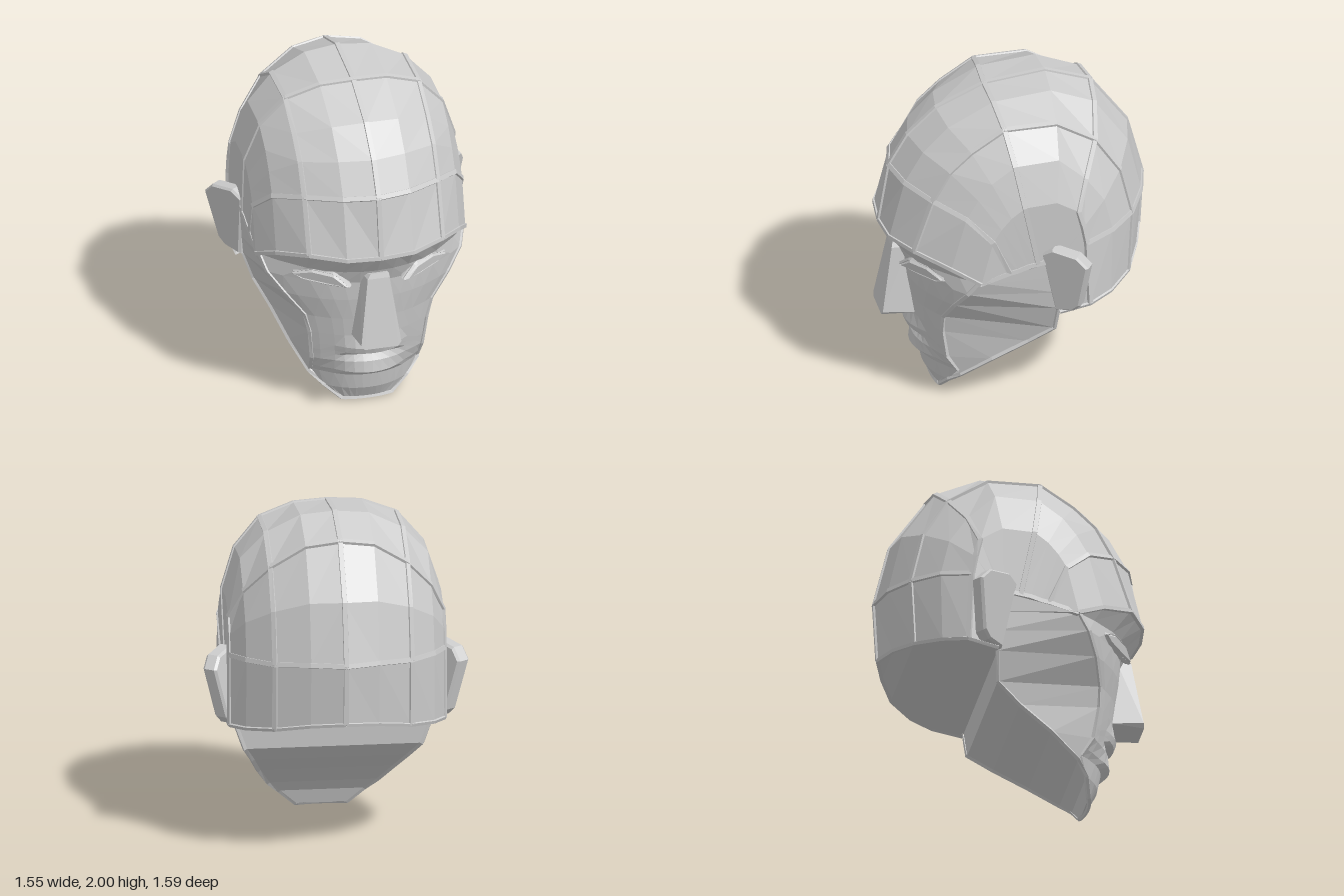
import * as THREE from 'three';
import { ConvexGeometry } from 'three/addons/geometries/ConvexGeometry.js';

const grey = new THREE.MeshStandardMaterial({ color: 0xcccccc, flatShading: true, side: THREE.DoubleSide });
const V = (x, y, z) => new THREE.Vector3(x, y, z);
const CENTRE = V(0, 1, 0);

// Skin a grid of points (rows of equal length), facing away from the centre
function skin(rows) {
  const build = flip => {
    const pos = [];
    const put = (...pts) => (flip ? pts.reverse() : pts).forEach(p => pos.push(p.x, p.y, p.z));
    for (let i = 0; i < rows.length - 1; i++)
      for (let j = 0; j < rows[i].length - 1; j++) {
        const a = rows[i][j], b = rows[i][j + 1], c = rows[i + 1][j + 1], d = rows[i + 1][j];
        put(a, b, c);
        put(a, c, d);
      }
    const g = new THREE.BufferGeometry();
    g.setAttribute('position', new THREE.Float32BufferAttribute(pos, 3));
    g.computeVertexNormals();
    return g;
  };
  const g = build(false), p = g.attributes.position, n = g.attributes.normal;
  let facing = 0;
  for (let i = 0; i < p.count; i++)
    facing += V().fromBufferAttribute(p, i).sub(CENTRE).dot(V().fromBufferAttribute(n, i));
  return facing < 0 ? build(true) : g;
}

// Mirror a geometry across x = 0 and restore its winding
function mirrored(geometry) {
  const g = geometry.index ? geometry.toNonIndexed() : geometry.clone();
  g.scale(-1, 1, 1);
  const p = g.attributes.position, a = V(), b = V();
  for (let i = 0; i < p.count; i += 3) {
    a.fromBufferAttribute(p, i);
    b.fromBufferAttribute(p, i + 1);
    p.setXYZ(i, b.x, b.y, b.z);
    p.setXYZ(i + 1, a.x, a.y, a.z);
  }
  g.computeVertexNormals();
  return g;
}

// Raised band with a trapezoid section laid along a line of surface points
function band(points, width = 0.034, height = 0.008) {
  return skin(points.map((p, i) => {
    const t = points[Math.min(i + 1, points.length - 1)].clone().sub(points[Math.max(i - 1, 0)]).normalize();
    const n = p.clone().sub(CENTRE);
    n.addScaledVector(t, -n.dot(t)).normalize();
    const s = t.cross(n);
    return [[-0.5, -1.5], [-0.4, 1], [0.4, 1], [0.5, -1.5]].map(([w, h]) =>
      p.clone().addScaledVector(s, w * width).addScaledVector(n, h * height));
  }));
}

export function createModel() {
  const head = new THREE.Group();
  head.name = 'planarHead';
  const add = (name, g) => {
    const m = new THREE.Mesh(g, grey);
    m.name = name;
    head.add(m);
  };
  const pair = (name, g) => {
    add(name + 'Left', g);
    add(name + 'Right', mirrored(g));
  };

  // Cranium: profiles [z, y] from brow over the crown to the nape, at growing x
  const profiles = [
    [0, [.79, 1.1, .73, 1.47, .62, 1.66, .45, 1.82, .16, 1.95, -.2, 1.99, -.47, 1.89, -.69, 1.58, -.78, 1.22, -.76, .86]],
    [.2, [.77, 1.1, .68, 1.46, .57, 1.65, .42, 1.8, .15, 1.94, -.19, 1.97, -.45, 1.86, -.65, 1.57, -.73, 1.22, -.7, .84]],
    [.4, [.67, 1.11, .56, 1.44, .46, 1.62, .33, 1.74, .13, 1.87, -.18, 1.87, -.41, 1.73, -.56, 1.5, -.63, 1.2, -.61, .8]],
    [.55, [.48, 1.05, .39, 1.38, .32, 1.5, .24, 1.6, .1, 1.7, -.16, 1.71, -.32, 1.56, -.43, 1.4, -.48, 1.19, -.47, .77]],
    [.63, [.32, .97, .25, 1.25, .2, 1.33, .14, 1.4, .06, 1.46, -.13, 1.47, -.26, 1.39, -.29, 1.28, -.31, 1.17, -.33, .75]],
    [.62, [.32, .97, .15, 1.02, .1, 1.03, .04, 1.05, -.02, 1.06, -.08, 1.07, -.12, 1.07, -.14, 1.07, -.15, 1.07, -.15, .71]],
  ];
  const skull = profiles.map(([x, zy]) =>
    Array.from({ length: zy.length / 2 }, (_, s) => V(x, zy[2 * s + 1], zy[2 * s])));
  pair('cranium', skin(skull));

  // Face: rows of [y, centre z, edge x, edge z, lip bulge] below the brow line
  const rows = [
    [.97, .7, .61, .33, 0], [.88, .66, .58, .39, 0], [.76, .65, .49, .45, 0], [.62, .63, .38, .49, 0],
    [.5, .61, .35, .49, .01], [.42, .595, .34, .48, .05], [.38, .585, .335, .475, .045],
    [.35, .58, .33, .47, -.01], [.31, .575, .33, .46, .02], [.24, .565, .325, .42, .04],
    [.2, .55, .32, .39, 0], [.1, .53, .25, .43, 0], [.01, .48, .15, .46, 0],
  ];
  const steps = [0, .16, .32, .48, .64, .87, 1];
  const browLine = skull.slice(0, 5).map(c => c[0]);
  const onBrow = x => {
    const i = Math.max(1, browLine.findIndex(p => p.x >= x - 1e-6));
    const a = browLine[i - 1], b = browLine[i];
    return a.clone().lerp(b, (x - a.x) / (b.x - a.x));
  };
  const face = [steps.map(u => onBrow(u * .63))];
  for (const [y, zc, xe, ze, lip] of rows)
    face.push(steps.map(u => {
      const x = xe * u, bulge = lip * Math.max(0, 1 - (x / .21) ** 2);
      return V(x, y, ze + (zc - ze) * (1 - u ** 2.2) + bulge);
    }));
  pair('face', skin(face));

  // Jaw sides: from the face edge back to the jaw corner and its lower edge
  const cheekEdge = [0, 1, 2, 3, 4, 5, 9, 11].map(i => face[i][6]);
  const jawEdge = [[.62, 1.07, -.15], [.61, .95, -.15], [.6, .83, -.15], [.58, .71, -.15],
    [.52, .54, -.14], [.46, .43, 0], [.4, .3, .2], [.325, .17, .37]].map(p => V(...p));
  pair('jawSide', skin(cheekEdge.map((p, i) => [p, jawEdge[i]])));

  // Underside: straight strips from side to side along the lower edge
  const nape = skull.map(c => c[9]).reverse();
  const lowerEdge = [...face[13], face[12][6], ...jawEdge.slice(3).reverse(), ...nape];
  add('underside', skin(lowerEdge.map(p => [p, V(-p.x, p.y, p.z)])));

  // Bands between the planes
  add('centreBand', band(skull[0]));
  pair('templeBand', band(skull[2]));
  const across = (s, last) => skull.slice(0, last + 1).map(c => c[s]);
  pair('browBand', band(across(0, 4), .028));
  pair('foreheadBand', band(across(1, 5)));
  pair('crownBand', band(across(4, 5)));
  pair('backBand', band([...across(6, 4), ...skull[4].slice(7)]));
  pair('occiputBand', band(across(8, 4)));
  pair('earLineBand', band(skull[5].slice(0, 6)));
  pair('napeBand', band(nape, .024));
  pair('cheekBand', band(cheekEdge, .026));
  pair('jawBand', band([...face[13], face[12][6], ...jawEdge.slice(3).reverse()], .024));

  // Nose wedge with clipped corners
  const nose = [];
  for (const s of [-1, 1])
    for (const [x, y, z] of [[.1, .505, .795], [.12, .53, .79], [.065, .93, .725], [.045, .96, .715],
      [.13, .51, .6], [.085, .94, .63]])
      nose.push(V(s * x, y, z));
  add('nose', new ConvexGeometry(nose));

  // Eyes: almond panels with a lid rim, set under the brow
  const almond = [[-.19, -.04], [-.1, .035], [.04, .045], [.17, 0], [.1, -.035], [-.06, -.045]]
    .map(p => new THREE.Vector2(...p));
  const place = g => g.rotateX(.12).rotateY(.6).translate(.31, .925, .575);
  pair('eye', place(new THREE.ExtrudeGeometry(new THREE.Shape(almond),
    { depth: .02, bevelThickness: .02, bevelSize: .015, bevelOffset: -.015, bevelSegments: 1 })));
  const lid = new THREE.CurvePath();
  almond.forEach((p, i) => {
    const q = almond[(i + 1) % almond.length];
    lid.add(new THREE.LineCurve3(V(p.x, p.y, .02), V(q.x, q.y, .02)));
  });
  pair('eyelid', place(new THREE.TubeGeometry(lid, 36, .011, 4, true)));

  // Ears: thick plates flaring out and back
  const earShape = new THREE.Shape([[-.02, 1.12], [.05, 1.16], [.19, 1.14], [.235, 1.08], [.11, .79],
    [.06, .75], [-.04, .73]].map(p => new THREE.Vector2(...p)));
  const ear = new THREE.ExtrudeGeometry(earShape,
    { depth: .06, bevelThickness: .014, bevelSize: .012, bevelSegments: 1 });
  ear.translate(0, -1.13, -.075);
  ear.applyMatrix4(new THREE.Matrix4().makeBasis(V(.574, 0, -.82), V(0, 1, .25), V(.82, 0, .574)));
  pair('ear', ear.translate(.64, 1.13, -.06));

  return head;
}
